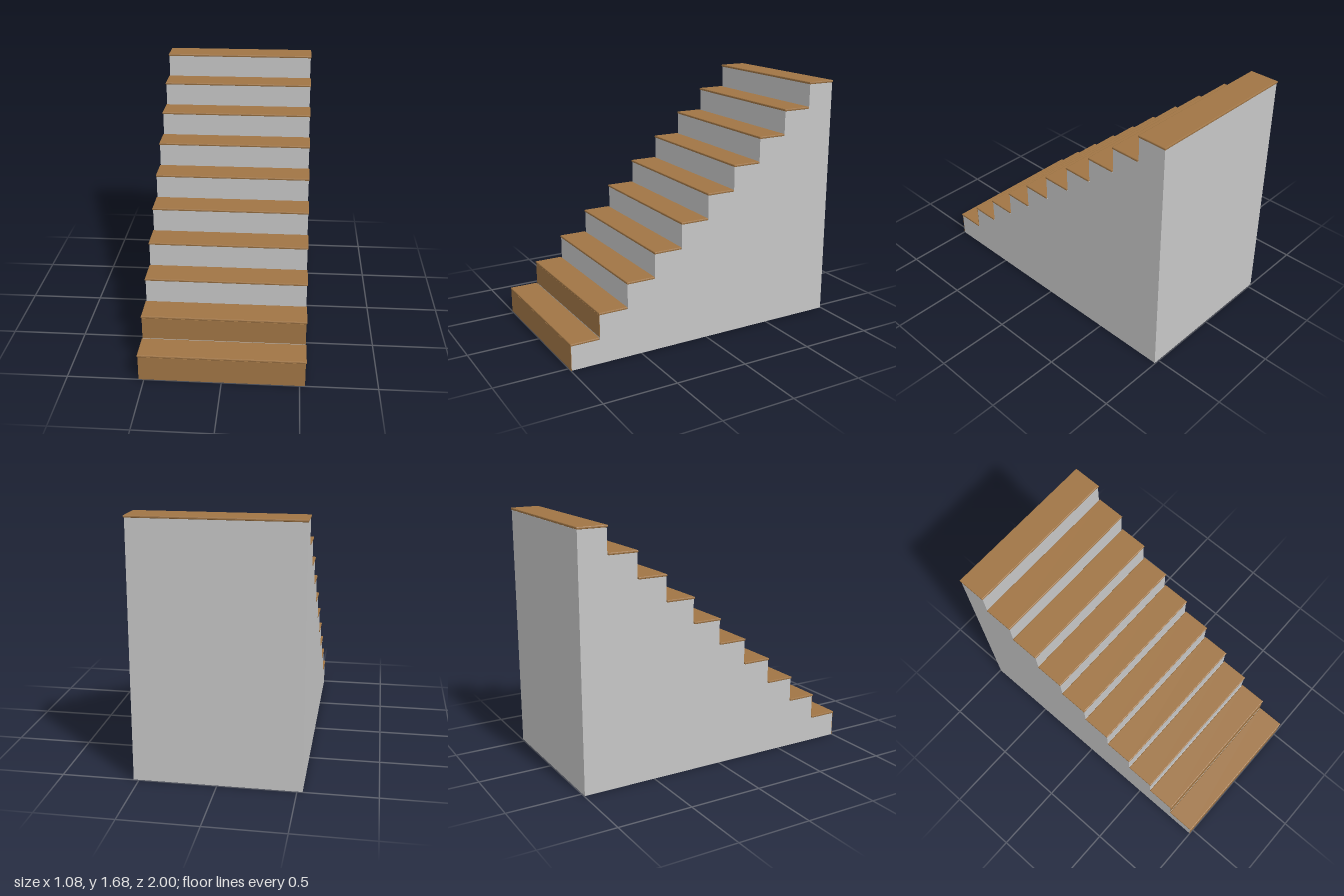
import * as THREE from 'three';

const STEPS = 10, RISE = 1 / 6, RUN = 0.2;
const HALF_W = 0.535, FRONT = 0.995, BACK = -0.996;
const BEVEL = 0.005, TREAD_H = 0.016;

const wood = new THREE.MeshStandardMaterial({ color: 0xa07545 });
wood.name = 'wood';
const plaster = new THREE.MeshStandardMaterial({ color: 0xc6c6c6 });
plaster.name = 'light grey plaster';

// Solid stepped block, profile drawn in (z, y) and extruded across the width
function makeBody() {
  const profile = new THREE.Shape();
  profile.moveTo(BACK, 0);
  profile.lineTo(FRONT, 0);
  for (let i = 0; i < STEPS; i++) {
    const z = FRONT - i * RUN;
    profile.lineTo(z, (i + 1) * RISE);
    profile.lineTo(i === STEPS - 1 ? BACK : z - RUN, (i + 1) * RISE);
  }
  const geo = new THREE.ExtrudeGeometry(profile, { depth: HALF_W * 2, bevelEnabled: false });
  geo.translate(0, 0, -HALF_W);
  geo.rotateY(-Math.PI / 2);
  return geo;
}

// Board with square corners in plan and softened upper and lower edges
function makeTread() {
  const w = 0.54 - BEVEL, d = RUN / 2 - BEVEL;
  const plan = new THREE.Shape([
    new THREE.Vector2(-w, -d), new THREE.Vector2(w, -d),
    new THREE.Vector2(w, d), new THREE.Vector2(-w, d),
  ]);
  const geo = new THREE.ExtrudeGeometry(plan, {
    depth: TREAD_H - BEVEL * 2, bevelSize: BEVEL, bevelThickness: BEVEL, bevelSegments: 2,
  });
  geo.rotateX(-Math.PI / 2);
  geo.translate(0, BEVEL, 0);
  return geo;
}

export function createModel() {
  const stairs = new THREE.Group();
  stairs.name = 'staircase';

  const add = (name, geo, mat, y = 0, z = 0) => {
    const mesh = new THREE.Mesh(geo, mat);
    mesh.name = name;
    mesh.position.set(0, y, z);
    stairs.add(mesh);
  };

  add('steppedBody', makeBody(), plaster);

  // One wooden tread on each step
  const tread = makeTread();
  for (let i = 0; i < STEPS; i++) {
    add(`tread${i + 1}`, tread, wood, (i + 1) * RISE, 1 - (i + 0.5) * RUN);
  }

  // Wooden facing on the two lowest risers
  for (let i = 0; i < 2; i++) {
    const bottom = i === 0 ? 0 : i * RISE + TREAD_H;
    const height = (i + 1) * RISE - bottom;
    add(`riserFacing${i + 1}`, new THREE.BoxGeometry(HALF_W * 2, height, 0.003), wood,
      bottom + height / 2, FRONT - i * RUN + 0.0015);
  }

  return stairs;
}
